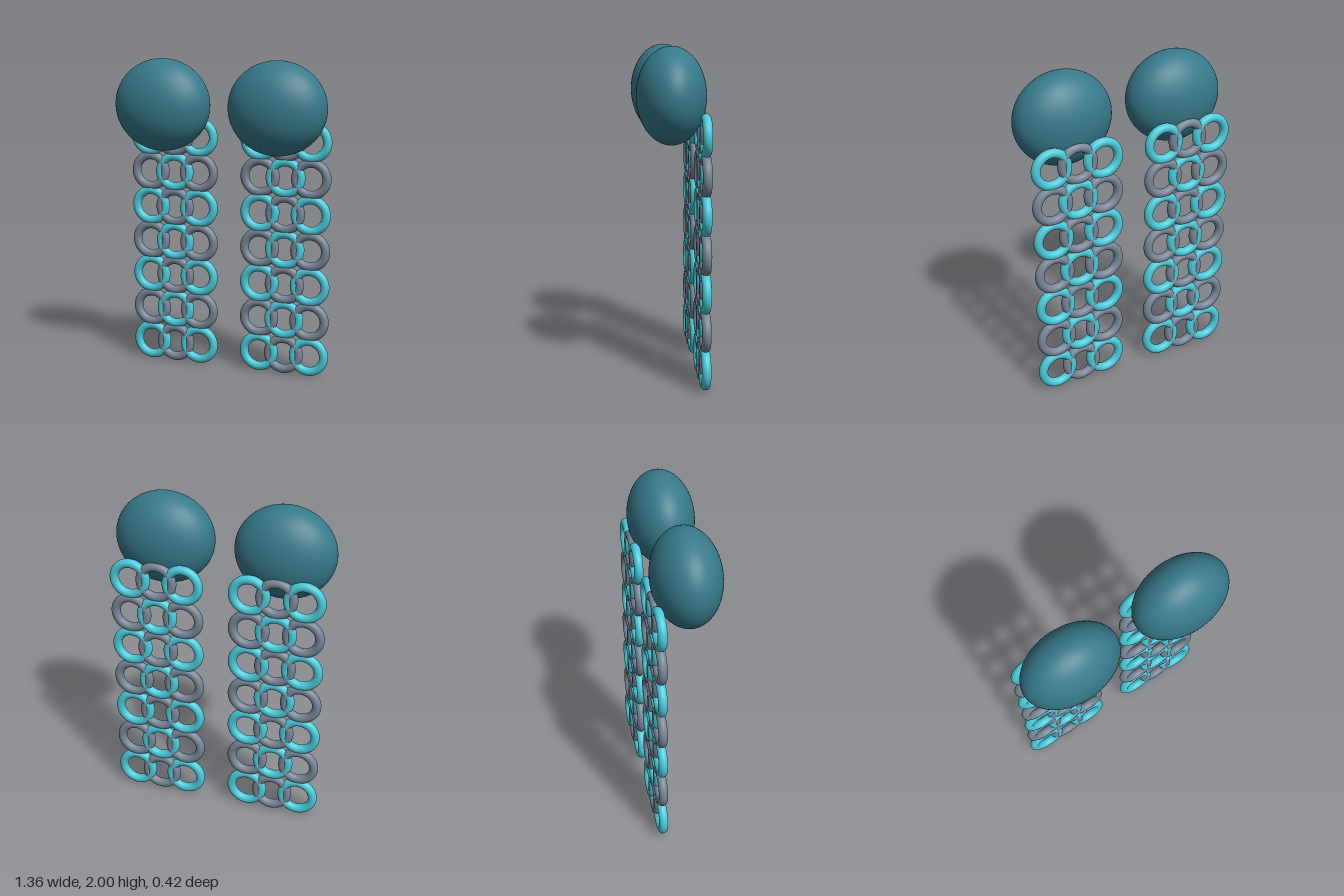
import * as THREE from 'three';

const paint = (color) => new THREE.MeshStandardMaterial({ color });

export function createModel() {
  const model = new THREE.Group();
  const teal = paint(0x37798a), cyan = paint(0x4cc9d9), grey = paint(0x778596);
  const studGeometry = new THREE.SphereGeometry(1, 64, 40);
  const ringGeometry = new THREE.TorusGeometry(0.1, 0.028, 20, 48);

  for (const side of [-1, 1]) {
    const earring = new THREE.Group();
    earring.name = side > 0 ? 'leftEarring' : 'rightEarring';
    earring.position.x = side * 0.372;

    // Flattened oval stud on top
    const stud = new THREE.Mesh(studGeometry, teal);
    stud.name = 'stud';
    stud.scale.set(0.307, 0.286, 0.205);
    stud.position.y = 1.714;
    earring.add(stud);

    // Curtain of interlocking rings, 3 columns by 7 rows in alternating colours
    const curtain = new THREE.Group();
    curtain.name = 'ringCurtain';
    curtain.position.z = -0.186;
    for (let row = 0; row < 7; row++) {
      for (let col = 0; col < 3; col++) {
        const ring = new THREE.Mesh(ringGeometry, (row + col) % 2 ? grey : cyan);
        ring.name = 'ring';
        ring.position.set((col - 1) * 0.166, 0.128 + row * 0.228, 0);
        curtain.add(ring);
      }
    }
    earring.add(curtain);
    model.add(earring);
  }
  return model;
}
